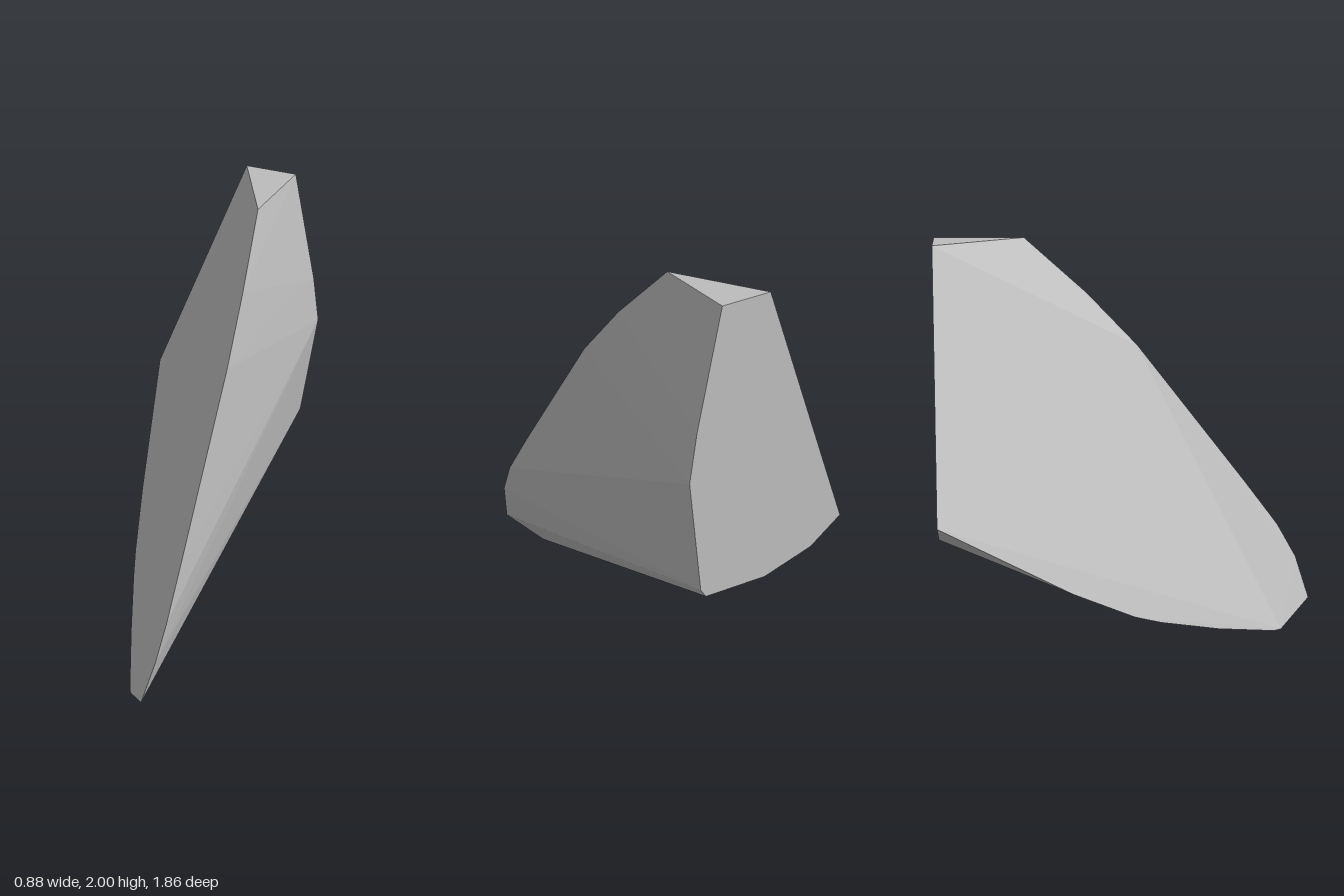
import * as THREE from 'three';
import { ConvexGeometry } from 'three/addons/geometries/ConvexGeometry.js';

const BACK = -0.93;

// The large slanted cut: x follows from y and z
const onCut = ([y, z]) => new THREE.Vector3(-0.265 + 0.38 * y + 0.505 * z, y, z);
const onBack = ([x, y]) => new THREE.Vector3(x, y, BACK);

export function createModel() {
  const stone = new THREE.MeshStandardMaterial({ color: 0xbcbcbc });

  // Outline of the slanted cut as [y, z], from the top round the tip to the back
  const cut = [
    [2, BACK], [2, -0.5], [1.72, -0.2], [1.45, 0.05], [0.73, 0.6], [0.5, 0.77],
    [0.33, 0.865], [0.12, 0.93], [0, 0.77], [0, 0.73], [0.07, 0.43],
    [0.16, 0.13], [0.21, 0], [0.37, -0.3], [0.77, BACK],
  ].map(onCut);

  // Remaining outline of the flat back as [x, y]
  const back = [
    [0.28, 2], [0.4, 1.45], [0.435, 1.22], [0.365, 0.66],
    [0.335, 0.617], [0, 0.597], [-0.27, 0.66],
  ].map(onBack);

  // Two shallow corners on the faceted side
  const side = [
    new THREE.Vector3(0.35, 0.66, -0.13),
    new THREE.Vector3(0.293, 0.33, 0.4),
  ];

  const shard = new THREE.Mesh(new ConvexGeometry([...cut, ...back, ...side]), stone);
  shard.name = 'rockShard';

  const model = new THREE.Group();
  model.name = 'rockFragment';
  model.add(shard);
  return model;
}
